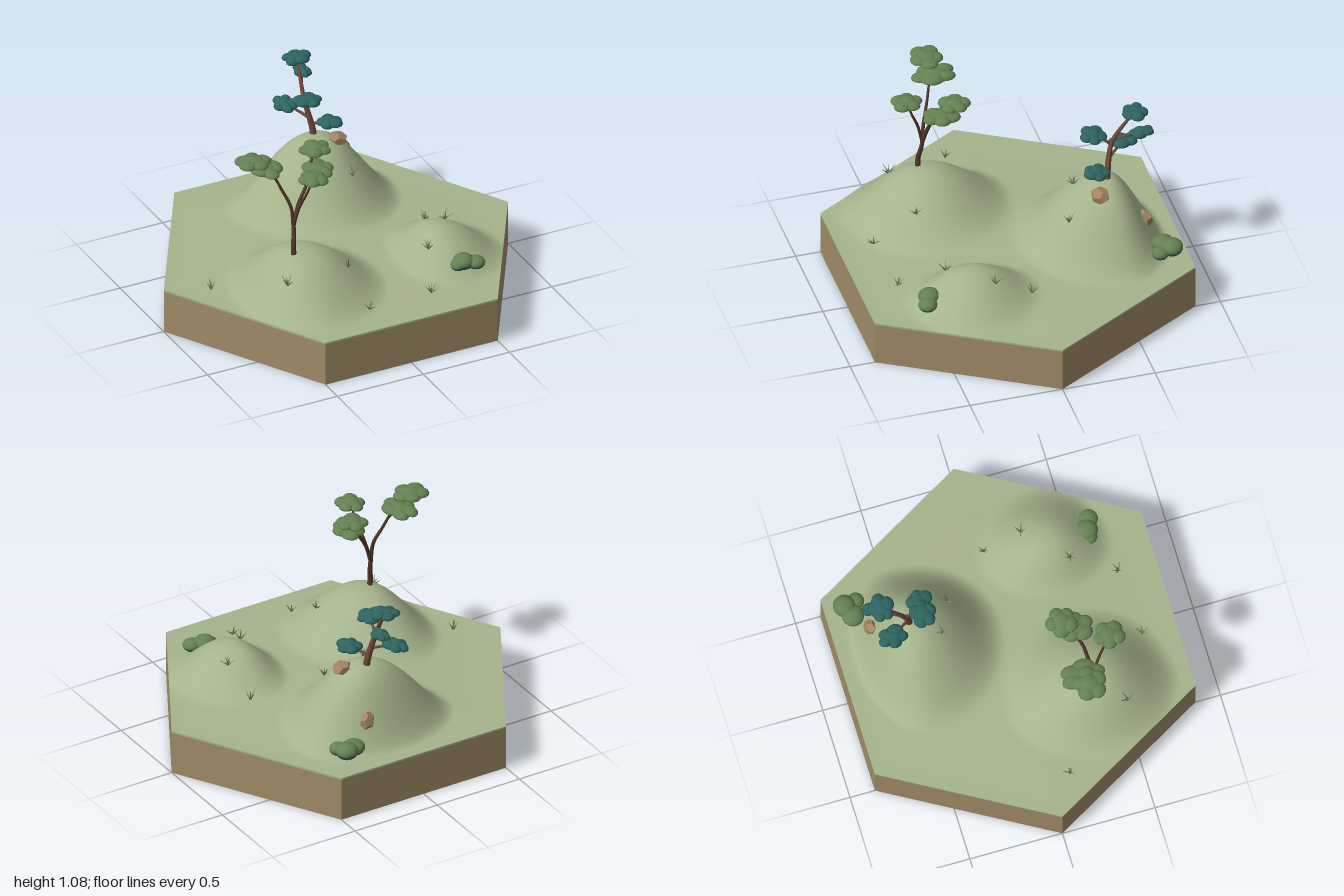
import * as THREE from 'three';

const mat = (name, color) => Object.assign(new THREE.MeshStandardMaterial({ color }), { name });
const V = (p) => new THREE.Vector3(...p);

// small seeded random
let seed = 7;
const rnd = () => { seed = (seed * 16807) % 2147483647; return seed / 2147483647; };

// hills: centre x, z, height, radii towards -x, +x, -z, +z
const HILLS = [
  [-0.4, 0.35, 0.245, 0.35, 0.48, 0.48, 0.45],
  [0.12, -0.5, 0.37, 0.5, 0.45, 0.3, 0.5],
  [0.43, 0.34, 0.17, 0.27, 0.36, 0.38, 0.34],
];
const HALF = Math.sqrt(3) / 2;

function height(x, z) {
  const rim = Math.max(Math.abs(z), Math.abs(x) * HALF + Math.abs(z) / 2) / HALF;
  let y = 0.25 + 0.035 * (1 - rim * rim) ** 2;
  for (const [cx, cz, h, l, r, b, f] of HILLS) {
    const u = (x - cx) / (x < cx ? l : r), v = (z - cz) / (z < cz ? b : f);
    const t = Math.min(1, Math.hypot(u, v));
    y += h * (1 - t ** 2.2) ** 2;
  }
  return y;
}

function flat(geo) {
  const g = geo.index ? geo.toNonIndexed() : geo;
  g.computeVertexNormals();
  return g;
}

// tapered tube through points
function limb(points, r0, r1, material, name) {
  const seg = 12, sides = 8;
  const curve = new THREE.CatmullRomCurve3(points.map(V));
  const geo = new THREE.TubeGeometry(curve, seg, 1, sides);
  const pos = geo.attributes.position, p = new THREE.Vector3();
  for (let k = 0; k < pos.count; k++) {
    const t = Math.floor(k / (sides + 1)) / seg, c = curve.getPointAt(t);
    p.fromBufferAttribute(pos, k).sub(c).multiplyScalar(r0 + (r1 - r0) * t).add(c);
    pos.setXYZ(k, p.x, p.y, p.z);
  }
  geo.computeVertexNormals();
  const m = new THREE.Mesh(geo, material);
  m.name = name;
  return m;
}

// flat-bottomed lobe of foliage
const lobeGeo = new THREE.SphereGeometry(1, 14, 10);
{
  const pos = lobeGeo.attributes.position;
  for (let k = 0; k < pos.count; k++) if (pos.getY(k) < 0) pos.setY(k, pos.getY(k) * 0.55);
  lobeGeo.computeVertexNormals();
}

// pad of overlapping lobes around a centre
function leafPad([x, y, z], rx, rz, material) {
  const pad = new THREE.Group();
  pad.name = 'leafPad';
  const turn = rnd() * 6;
  for (let i = 0; i < 6; i++) {
    const a = turn + i * Math.PI * 2 / 5, d = i === 5 ? 0 : 0.52;
    const lobe = new THREE.Mesh(lobeGeo, material);
    const s = i === 5 ? 0.62 : 0.42 + rnd() * 0.14;
    lobe.name = 'leafLobe';
    lobe.position.set(x + Math.cos(a) * rx * d, y + (i === 5 ? 0.004 : rnd() * 0.01 - 0.008), z + Math.sin(a) * rz * d);
    lobe.scale.set(rx * s, 0.022 + rnd() * 0.005, rz * s);
    pad.add(lobe);
  }
  return pad;
}

export function createModel() {
  seed = 7;
  const grass = mat('grass', 0xa5b48c), dirt = mat('dirt', 0xa08a66);
  const olive = mat('oliveLeaves', 0x658152), teal = mat('tealLeaves', 0x2d6460);
  const darkBark = mat('darkBark', 0x553629), bark = mat('bark', 0x70493a);
  const stone = mat('stone', 0xa58363), blade = mat('grassBlade', 0x72825c);

  const model = new THREE.Group();
  model.name = 'hillyIsland';
  const add = (geo, material, name, parent = model) => {
    const m = new THREE.Mesh(geo, material);
    m.name = name;
    parent.add(m);
    return m;
  };

  // hexagonal slab with a thin grass edge
  const prism = (h, open) => flat(new THREE.CylinderGeometry(1, 1, h, 6, 1, open, Math.PI / 2));
  add(prism(0.24, false), [dirt, grass, grass], 'dirtSlab').position.y = 0.12;
  add(prism(0.01, true), grass, 'grassEdge').position.y = 0.245;

  // rolling ground, narrowed row by row to the hexagon
  const ground = new THREE.PlaneGeometry(2, HALF * 2, 90, 80).rotateX(-Math.PI / 2);
  const gp = ground.attributes.position;
  for (let k = 0; k < gp.count; k++) {
    const z = gp.getZ(k), x = gp.getX(k) * (1 - Math.abs(z) / (2 * HALF));
    gp.setXYZ(k, x, height(x, z), z);
  }
  ground.computeVertexNormals();
  add(ground, grass, 'ground');

  // trees: trunk, branches and leaf pads
  const tree = (name, wood, leaves, limbs, pads) => {
    const g = new THREE.Group();
    g.name = name;
    limbs.forEach(([pts, r0, r1], i) => g.add(limb(pts, r0, r1, wood, i ? 'branch' : 'trunk')));
    pads.forEach(([c, rx, rz]) => g.add(leafPad(c, rx, rz, leaves)));
    model.add(g);
  };
  tree('forkedTree', darkBark, olive, [
    [[[-0.425, 0.45, 0.36], [-0.43, 0.55, 0.36], [-0.42, 0.62, 0.345], [-0.42, 0.69, 0.335]], 0.016, 0.011],
    [[[-0.42, 0.66, 0.34], [-0.43, 0.77, 0.33], [-0.47, 0.87, 0.3], [-0.52, 0.99, 0.27]], 0.011, 0.006],
    [[[-0.49, 0.92, 0.285], [-0.55, 0.98, 0.27], [-0.61, 1.04, 0.26]], 0.006, 0.004],
    [[[-0.42, 0.66, 0.34], [-0.4, 0.78, 0.37], [-0.375, 0.88, 0.41], [-0.36, 0.97, 0.44]], 0.009, 0.005],
    [[[-0.42, 0.66, 0.34], [-0.38, 0.77, 0.32], [-0.32, 0.87, 0.3], [-0.24, 0.99, 0.21]], 0.012, 0.006],
    [[[-0.33, 0.86, 0.3], [-0.29, 0.89, 0.3], [-0.25, 0.925, 0.3]], 0.007, 0.004],
  ], [
    [[-0.615, 1.05, 0.26], 0.095, 0.09], [[-0.535, 0.99, 0.24], 0.085, 0.12],
    [[-0.23, 1.01, 0.22], 0.085, 0.085], [[-0.36, 0.975, 0.44], 0.08, 0.085],
    [[-0.25, 0.93, 0.29], 0.085, 0.1],
  ]);
  tree('leaningTree', bark, teal, [
    [[[0.12, 0.57, -0.495], [0.12, 0.65, -0.5], [0.1, 0.75, -0.515], [0.085, 0.83, -0.535], [0.09, 0.91, -0.58], [0.1, 1.0, -0.645]], 0.021, 0.007],
    [[[0.088, 0.82, -0.53], [0.08, 0.855, -0.49], [0.065, 0.875, -0.44]], 0.009, 0.005],
    [[[0.085, 0.85, -0.545], [0.115, 0.88, -0.62], [0.15, 0.905, -0.68]], 0.008, 0.005],
    [[[0.1, 0.73, -0.51], [0.06, 0.755, -0.56], [0.02, 0.77, -0.62]], 0.009, 0.005],
    [[[0.112, 0.69, -0.505], [0.15, 0.71, -0.46], [0.18, 0.72, -0.42]], 0.009, 0.005],
  ], [
    [[0.1, 1.012, -0.655], 0.08, 0.07], [[0.06, 0.88, -0.44], 0.08, 0.07],
    [[0.145, 0.91, -0.68], 0.045, 0.07], [[0.015, 0.775, -0.62], 0.065, 0.085],
    [[0.18, 0.725, -0.425], 0.07, 0.07],
  ]);

  // bushes: olive crowns over teal undersides
  const crown = new THREE.SphereGeometry(1, 18, 8, 0, Math.PI * 2, 0, 1.75);
  const under = new THREE.SphereGeometry(1, 18, 5, 0, Math.PI * 2, 1.75, Math.PI - 1.75);
  const bush = (lobes) => {
    const g = new THREE.Group();
    g.name = 'bush';
    for (const [x, y, z, r, h] of lobes) {
      for (const m of [add(crown, olive, 'bushCrown', g), add(under, teal, 'bushUnderside', g)]) {
        m.position.set(x, y, z);
        m.scale.set(r, h, r);
      }
    }
    model.add(g);
  };
  bush([[0.455, 0.33, 0.56, 0.058, 0.042], [0.515, 0.322, 0.585, 0.05, 0.034], [0.42, 0.318, 0.565, 0.04, 0.03]]);
  bush([[0.345, 0.325, -0.735, 0.06, 0.04], [0.405, 0.335, -0.765, 0.06, 0.045], [0.42, 0.32, -0.7, 0.045, 0.035]]);

  // rocks
  const rockGeo = flat(new THREE.DodecahedronGeometry(1, 0));
  for (const [x, y, z, sx, sy, sz, tilt] of [
    [0.23, 0.612, -0.43, 0.055, 0.036, 0.05, -0.25],
    [0.225, 0.415, -0.675, 0.045, 0.05, 0.036, 0.3],
  ]) {
    const rock = add(rockGeo, stone, 'rock');
    rock.position.set(x, y, z);
    rock.scale.set(sx, sy, sz);
    rock.rotation.set(0.15, 0.4, tilt);
  }

  // grass tufts with spreading blades
  const bladeGeo = flat(new THREE.ConeGeometry(0.006, 0.066, 3).translate(0, 0.028, 0));
  for (const [x, z] of [[0.04, -0.34], [0.23, -0.26], [-0.78, 0.11], [0.51, 0.02], [0.52, 0.22],
    [0.32, 0.43], [-0.53, 0.49], [-0.16, 0.45], [-0.15, 0.68], [0.22, 0.66]]) {
    const tuft = new THREE.Group();
    tuft.name = 'grassTuft';
    tuft.position.set(x, height(x, z), z);
    const turn = rnd() * 6;
    for (let i = 0; i < 6; i++) {
      const b = add(bladeGeo, blade, 'blade', tuft);
      b.rotation.set(0, turn + i * Math.PI / 3 + rnd() * 0.4, i === 0 ? 0.1 : -0.5 - rnd() * 0.5);
      b.scale.y = 0.75 + rnd() * 0.35;
    }
    model.add(tuft);
  }
  return model;
}
